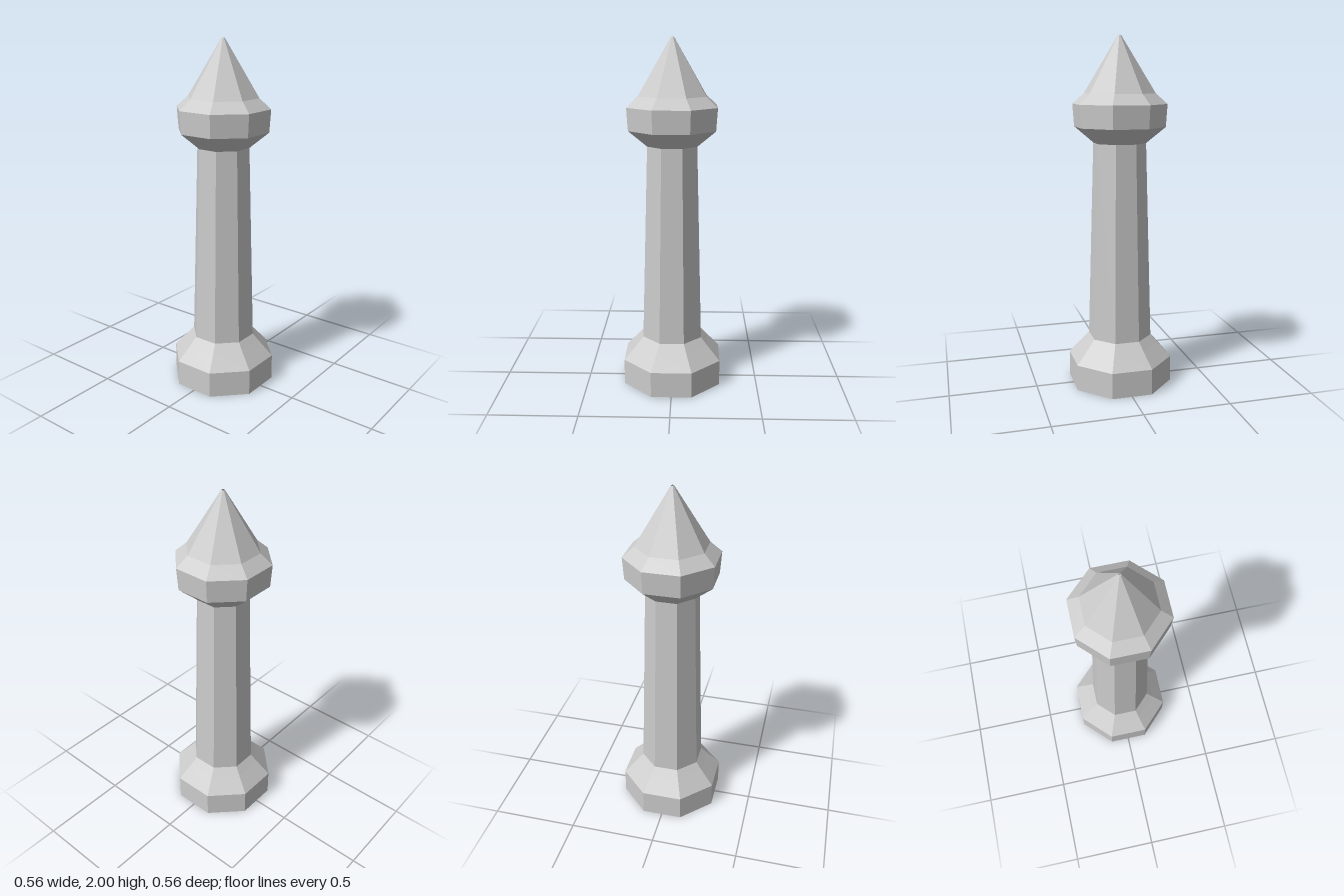
import * as THREE from 'three';

const SIDES = 8;

// Faceted octagonal shell from [flat-to-centre distance, height] pairs, bottom to top.
function octagonShell(name, profile, material) {
  const toCorner = 1 / Math.cos(Math.PI / SIDES);
  const points = profile.map(([r, y]) => new THREE.Vector2(r * toCorner, y));
  const geometry = new THREE.LatheGeometry(points, SIDES, Math.PI / SIDES).toNonIndexed();
  geometry.computeVertexNormals();
  const mesh = new THREE.Mesh(geometry, material);
  mesh.name = name;
  return mesh;
}

export function createModel() {
  const stone = new THREE.MeshStandardMaterial({
    color: 0xcccccc, flatShading: true, side: THREE.DoubleSide,
  });
  stone.name = 'grey stone';

  const tower = new THREE.Group();
  tower.name = 'octagonalTower';
  tower.add(
    // hollow foot, open underneath
    octagonShell('base', [[0.28, 0], [0.28, 0.15], [0.207, 0.235], [0.17, 0.28]], stone),
    // tapering column
    octagonShell('shaft', [[0.17, 0.28], [0.139, 1.41]], stone),
    // flared gallery
    octagonShell('collar', [[0.139, 1.41], [0.24, 1.5], [0.248, 1.627], [0.187, 1.685]], stone),
    // pointed roof with a tiny open tip
    octagonShell('spire', [[0.187, 1.685], [0.008, 2]], stone),
  );
  return tower;
}
